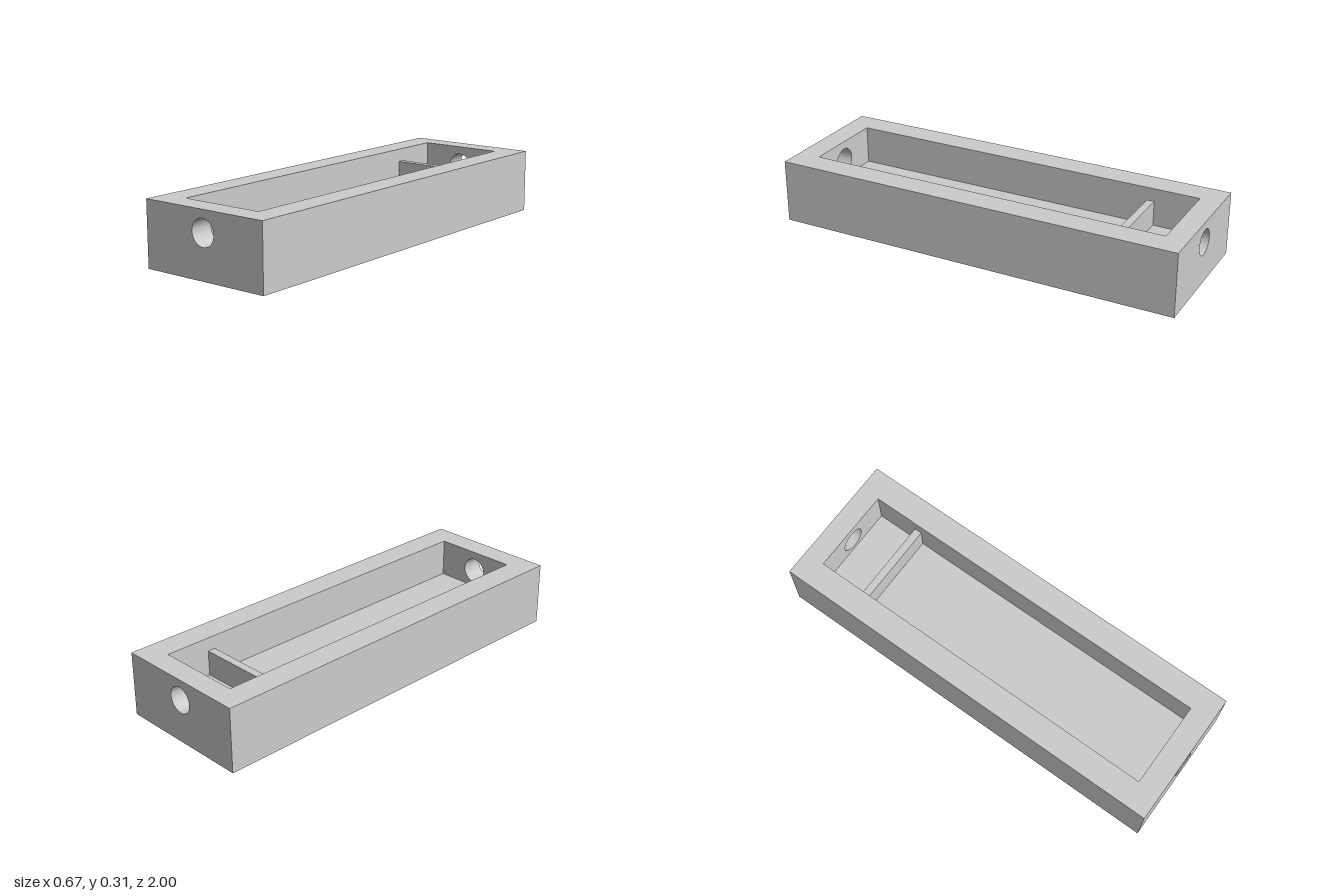
import * as THREE from 'three';
import { toCreasedNormals } from 'three/addons/utils/BufferGeometryUtils.js';

const W = 0.333, H = 0.309;              // half width and height of the block
const CAV = 0.209, FLOOR = 0.124;        // half width and floor level of the cavity
const BACK = -0.896, FRONT = 0.888;      // ends of the cavity
const HOLE_Y = 0.209, HOLE_R = 0.062;

export function createModel() {
  const group = new THREE.Group();
  const material = new THREE.MeshStandardMaterial({ color: 0xcccccc });

  const add = (name, geometry) => {
    const mesh = new THREE.Mesh(geometry, material);
    mesh.name = name;
    group.add(mesh);
    return mesh;
  };

  // Extrudes an x-y shape from z0 to z1
  const extrude = (shape, z0, z1) => {
    const g = new THREE.ExtrudeGeometry(shape, { depth: z1 - z0, bevelEnabled: false, curveSegments: 48 });
    g.translate(0, 0, z0);
    return toCreasedNormals(g, 0.5);
  };
  const outline = (points) => new THREE.Shape(points.map(([x, y]) => new THREE.Vector2(x, y)));

  // Floor and both side walls as one U-shaped channel
  const channel = outline([
    [-W, 0], [W, 0], [W, H], [CAV, H], [CAV, FLOOR], [-CAV, FLOOR], [-CAV, H], [-W, H],
  ]);
  add('trayChannel', extrude(channel, BACK, FRONT));

  // End walls, each with a round through hole
  const end = outline([[-W, 0], [W, 0], [W, H], [-W, H]]);
  end.holes.push(new THREE.Path().absarc(0, HOLE_Y, HOLE_R, 0, Math.PI * 2, true));
  add('frontWall', extrude(end, FRONT, 1));
  add('backWall', extrude(end, -1, BACK));

  // Low divider across the cavity near the back
  const top = 0.245;
  add('divider', new THREE.BoxGeometry(CAV * 2, top - FLOOR, 0.037))
    .position.set(0, (top + FLOOR) / 2, -0.66);

  return group;
}
